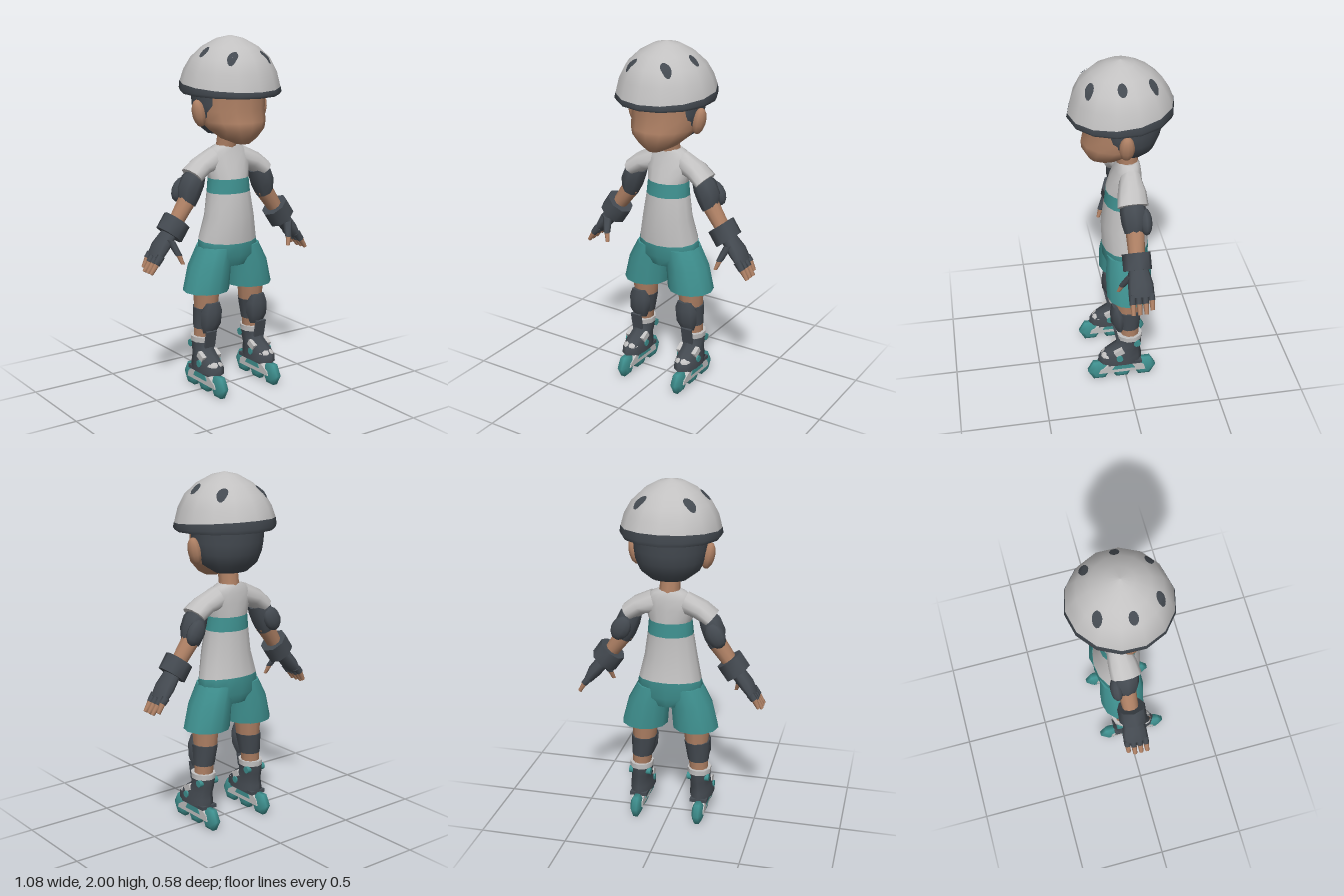
import * as THREE from 'three';

const paint = (name, color) => Object.assign(new THREE.MeshStandardMaterial({ color }), { name });

export function createModel() {
  const root = new THREE.Group();
  root.name = 'skater';
  const white = paint('pale grey', 0xc2c1c1);
  const skin = paint('skin', 0xae8064);
  const teal = paint('teal', 0x3f9190);
  const dark = paint('charcoal', 0x444a51);

  const add = (name, geometry, material) => {
    const mesh = new THREE.Mesh(geometry, material);
    mesh.name = name;
    root.add(mesh);
    return mesh;
  };

  // Closed loft through elliptical sections, ordered bottom to top:
  // [x, y, z, radiusX, radiusZ, tilt about z, slope along z]; side -1 mirrors it
  function loft(name, material, sections, { side = 1, n = 10, zMax = Infinity } = {}) {
    const first = sections[0], last = sections[sections.length - 1];
    const point = (s) => [s[0], s[1], s[2], 0, 0];
    const rows = [point(first), first, ...sections, last, point(last)];
    const pos = [], index = [];
    rows.forEach(([x, y, z, rx, rz, tilt = 0, slope = 0], i) => {
      for (let j = 0; j < n; j++) {
        const a = Math.PI / 2 + (j / n) * Math.PI * 2;
        const u = rx * Math.cos(a), w = rz * Math.sin(a), t = tilt * side;
        pos.push(x * side + u * Math.cos(t), y + u * Math.sin(t) + w * slope, Math.min(z + w, zMax));
        if (i === rows.length - 1) continue;
        const p = i * n + j, q = i * n + (j + 1) % n;
        index.push(p, p + n, q, q, p + n, q + n);
      }
    });
    const g = new THREE.BufferGeometry();
    g.setAttribute('position', new THREE.Float32BufferAttribute(pos, 3));
    g.setIndex(index);
    g.computeVertexNormals();
    return add(name, g, material);
  }

  // Helmet shell and rim
  const helmet = loft('helmetShell', white, [
    [0, 1.735, 0, 0.275, 0.283, 0, -0.09], [0, 1.81, 0, 0.255, 0.26, 0, -0.03],
    [0, 1.88, 0, 0.216, 0.222], [0, 1.94, 0, 0.152, 0.156],
    [0, 1.983, 0, 0.075, 0.075], [0, 2, 0, 0, 0]], { n: 14 });
  loft('helmetRim', dark, [
    [0, 1.688, 0, 0.27, 0.28, 0, -0.035], [0, 1.705, 0, 0.28, 0.288, 0, -0.05],
    [0, 1.737, 0, 0.276, 0.284, 0, -0.09]], { n: 14 });

  // Helmet vents, wrapped onto the shell
  const ray = new THREE.Raycaster();
  helmet.updateMatrixWorld();
  for (const side of [1, -1]) {
    for (const [vx, vz, rx, rz] of [[0.133, -0.15, 0.035, 0.025], [0.181, 0.02, 0.028, 0.025], [0.107, 0.178, 0.033, 0.023]]) {
      const g = new THREE.RingGeometry(0.01, 1, 14, 3).rotateX(-Math.PI / 2).scale(rx, 1, rz).translate(vx * side, 0, vz);
      const p = g.attributes.position;
      for (let i = 0; i < p.count; i++) {
        ray.set(new THREE.Vector3(p.getX(i), 3, p.getZ(i)), new THREE.Vector3(0, -1, 0));
        const hit = ray.intersectObject(helmet)[0];
        p.setY(i, (hit ? hit.point.y : 1.9) + 0.007);
      }
      g.computeVertexNormals();
      add('helmetVent', g, dark);
    }
  }

  // Head, hair and neck
  loft('face', skin, [
    [0, 1.42, 0.12, 0.04, 0.04], [0, 1.45, 0.08, 0.105, 0.105], [0, 1.5, 0.05, 0.16, 0.163],
    [0, 1.54, 0.012, 0.182, 0.203], [0, 1.6, 0, 0.19, 0.195], [0, 1.71, 0, 0.19, 0.2]], { n: 14 });
  loft('hair', dark, [
    [0, 1.463, -0.06, 0.1, 0.07], [0, 1.51, -0.035, 0.165, 0.148], [0, 1.57, -0.02, 0.193, 0.19],
    [0, 1.63, -0.015, 0.202, 0.208], [0, 1.72, -0.015, 0.205, 0.213]], { n: 20, zMax: 0.085 });
  loft('neck', skin, [[0, 1.35, -0.045, 0.065, 0.062], [0, 1.41, -0.035, 0.056, 0.06], [0, 1.5, -0.02, 0.058, 0.06]]);

  // Shirt with chest stripe
  loft('shirtBody', white, [
    [0, 0.865, -0.025, 0.18, 0.132, 0, -0.1], [0, 1.0, -0.01, 0.15, 0.122], [0, 1.135, -0.016, 0.13, 0.108]], { n: 14 });
  loft('shirtStripe', teal, [[0, 1.135, -0.016, 0.13, 0.108], [0, 1.215, -0.018, 0.122, 0.102]], { n: 14 });
  loft('shirtYoke', white, [
    [0, 1.215, -0.018, 0.122, 0.102], [0, 1.29, -0.03, 0.14, 0.088], [0, 1.345, -0.04, 0.14, 0.072],
    [0, 1.38, -0.04, 0.1, 0.064], [0, 1.395, -0.04, 0.068, 0.055]], { n: 14 });

  // Shorts seat
  loft('shortsSeat', teal, [
    [0, 0.72, -0.025, 0.11, 0.105], [0, 0.78, -0.025, 0.195, 0.13], [0, 0.865, -0.025, 0.181, 0.133, 0, -0.1]], { n: 14 });

  for (const side of [1, -1]) {
    const o = { side };
    const at = (name, g, material, x, y, z, rx = 0, rz = 0) => {
      const m = add(name, g, material);
      m.position.set(x * side, y, z);
      m.rotation.set(rx, 0, rz * side);
    };
    const ball = (x, y, z) => new THREE.SphereGeometry(1, 10, 7).scale(x, y, z);

    at('ear', ball(0.036, 0.077, 0.042), skin, 0.205, 1.587, 0, 0, -0.22);

    // Sleeve and arm
    loft('sleeve', white, [
      [0.235, 1.243, -0.028, 0.052, 0.085, 0.82], [0.17, 1.29, -0.034, 0.058, 0.078, 0.87],
      [0.08, 1.32, -0.04, 0.07, 0.06, 1.2]], o);
    loft('elbowGuard', dark, [
      [0.268, 1.093, -0.035, 0.05, 0.057, 0.55], [0.255, 1.15, -0.035, 0.068, 0.073, 0.55],
      [0.228, 1.212, -0.03, 0.066, 0.073, 0.6], [0.2, 1.25, -0.03, 0.048, 0.06, 0.7]], { side, n: 8 });
    at('elbowCap', ball(0.055, 0.075, 0.035), dark, 0.268, 1.16, -0.092, 0, 0.5);
    loft('forearm', skin, [[0.35, 0.985, -0.03, 0.042, 0.044, 0.64], [0.258, 1.115, -0.035, 0.052, 0.053, 0.6]], o);
    loft('wristGuard', dark, [[0.388, 0.93, -0.028, 0.083, 0.079, 0.67], [0.335, 1.007, -0.028, 0.083, 0.079, 0.67]], { side, n: 8 });

    // Hand: glove, four fingers and thumb
    loft('glove', dark, [
      [0.478, 0.815, -0.035, 0.025, 0.07, 0.64], [0.44, 0.87, -0.035, 0.04, 0.07, 0.64],
      [0.37, 0.955, -0.03, 0.042, 0.05, 0.64]], o);
    [-0.088, -0.053, -0.017, 0.018].forEach((z, i) => {
      const d = i === 0 ? 0.014 : 0;
      loft('fingerGlove', dark, [[0.5 - d / 2, 0.787 + d, z, 0.02, 0.018, 0.64], [0.468, 0.83, z, 0.024, 0.018, 0.64]], { side, n: 6 });
      loft('fingerTip', skin, [[0.533 - d, 0.738 + d, z, 0.011, 0.012, 0.64], [0.498 - d / 2, 0.79 + d, z, 0.017, 0.016, 0.64]], { side, n: 6 });
    });
    loft('thumbGlove', dark, [[0.378, 0.83, 0.055, 0.019, 0.019], [0.405, 0.91, 0.01, 0.028, 0.03, 0.3]], { side, n: 6 });
    loft('thumbTip', skin, [[0.363, 0.782, 0.072, 0.011, 0.011], [0.379, 0.835, 0.053, 0.016, 0.016]], { side, n: 6 });

    // Shorts leg, leg and knee guard
    loft('shortsLeg', teal, [
      [0.148, 0.58, -0.025, 0.133, 0.128], [0.125, 0.72, -0.025, 0.12, 0.13], [0.09, 0.83, -0.025, 0.097, 0.118]], { side, n: 12 });
    loft('leg', skin, [
      [0.172, 0.28, -0.025, 0.053, 0.054], [0.168, 0.36, -0.025, 0.056, 0.056],
      [0.155, 0.46, -0.018, 0.066, 0.072], [0.152, 0.62, -0.015, 0.078, 0.086]], o);
    loft('kneeStrap', dark, [[0.167, 0.365, -0.022, 0.061, 0.062], [0.157, 0.485, -0.017, 0.074, 0.08]], o);
    loft('kneePad', dark, [
      [0.163, 0.345, 0.035, 0.045, 0.02], [0.16, 0.4, 0.04, 0.067, 0.045],
      [0.157, 0.47, 0.043, 0.07, 0.045], [0.156, 0.52, 0.055, 0.045, 0.022]], { side, n: 8 });

    // Boot
    loft('boot', dark, [
      [0.18, 0.125, 0.035, 0.07, 0.13], [0.18, 0.165, 0.035, 0.068, 0.128], [0.178, 0.2, 0.018, 0.062, 0.105],
      [0.175, 0.24, -0.018, 0.06, 0.076], [0.173, 0.29, -0.024, 0.067, 0.072]], o);
    loft('bootCuff', white, [[0.173, 0.288, -0.024, 0.068, 0.073], [0.173, 0.318, -0.022, 0.069, 0.076]], o);
    at('bootTongue', new THREE.BoxGeometry(0.065, 0.1, 0.015), dark, 0.173, 0.31, 0.055, 0.2);
    at('toeCap', ball(0.05, 0.03, 0.045), white, 0.18, 0.168, 0.108, 0.2);
    at('instepStrap', new THREE.BoxGeometry(0.126, 0.036, 0.055), white, 0.177, 0.213, 0.045, 0.5);
    const disc = (r, w) => new THREE.CylinderGeometry(r, r, w, 10).rotateZ(Math.PI / 2);
    at('ankleButton', disc(0.021, 0.128), teal, 0.173, 0.268, -0.06);
    at('sideButton', disc(0.02, 0.14), teal, 0.18, 0.175, 0.045);
    at('solePlate', new THREE.BoxGeometry(0.1, 0.02, 0.2), dark, 0.18, 0.122, 0.01);

    // Skate frame and wheels
    const plate = (name, material, width, pts) => {
      const shape = new THREE.Shape(pts.map(([z, y]) => new THREE.Vector2(-z, y)));
      const g = new THREE.ExtrudeGeometry(shape, { depth: width, bevelEnabled: false });
      at(name, g.translate(0, 0, -width / 2).rotateY(Math.PI / 2), material, 0.184, 0, 0);
    };
    plate('skateFrame', white, 0.07, [[0.165, 0.05], [0.155, 0.075], [0.07, 0.122], [-0.05, 0.122], [-0.105, 0.085], [-0.115, 0.05]]);
    plate('framePanel', teal, 0.078, [[0.085, 0.075], [0.055, 0.122], [-0.02, 0.122], [-0.05, 0.075]]);
    const profile = [[0, -0.029], [0.04, -0.029], [0.068, -0.013], [0.068, 0.013], [0.04, 0.029], [0, 0.029]]
      .map(([r, h]) => new THREE.Vector2(r, h));
    for (const z of [0.16, 0.025, -0.11]) {
      at('wheel', new THREE.LatheGeometry(profile, 6).rotateZ(Math.PI / 2).scale(1, 1.04, 1), teal, 0.184, 0.0613, z);
    }
  }
  return root;
}
